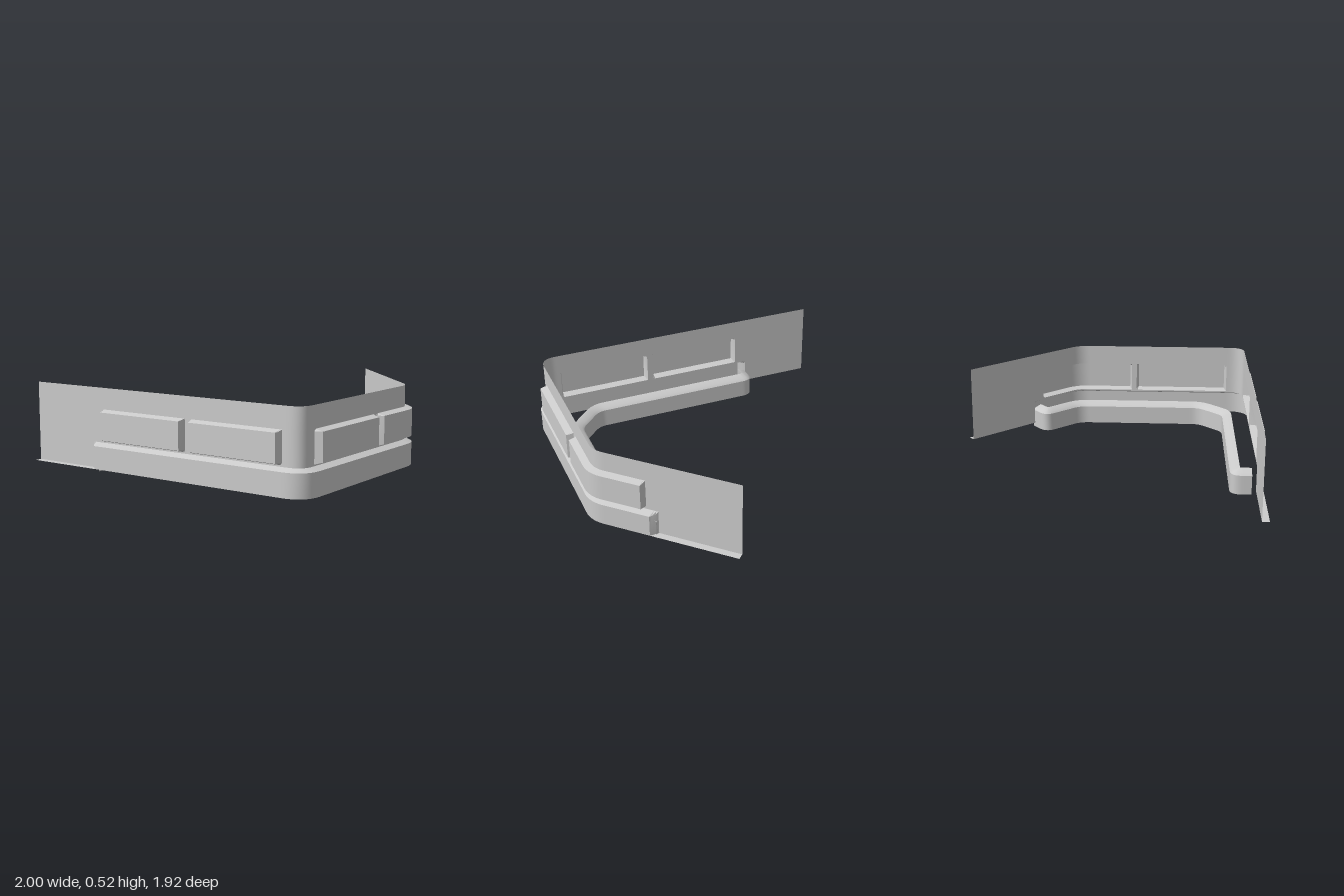
import * as THREE from 'three';
import { toCreasedNormals } from 'three/addons/utils/BufferGeometryUtils.js';

const material = new THREE.MeshStandardMaterial({ color: 0xcccccc, side: THREE.DoubleSide });

// Plan path (x, z) through corner points [x, z, bend], each corner rounded
function planPath(points) {
  const path = new THREE.Path();
  const v = points.map(([x, z]) => new THREE.Vector2(x, z));
  path.moveTo(v[0].x, v[0].y);
  for (let i = 1; i < v.length - 1; i++) {
    const bend = points[i][2];
    const a = v[i - 1].clone().sub(v[i]).setLength(bend).add(v[i]);
    const b = v[i + 1].clone().sub(v[i]).setLength(bend).add(v[i]);
    path.lineTo(a.x, a.y);
    path.quadraticCurveTo(v[i].x, v[i].y, b.x, b.y);
  }
  path.lineTo(v.at(-1).x, v.at(-1).y);
  return path;
}

// Fraction along the path closest to a plan point
function locate(path, x, z) {
  let best = 0, bestD = Infinity;
  for (let i = 0; i <= 2000; i++) {
    const p = path.getPoint(i / 2000);
    const d = Math.hypot(p.x - x, p.y - z);
    if (d < bestD) { bestD = d; best = i / 2000; }
  }
  return best;
}

// Sheet swept along a path; profile(u, row) gives [outward offset, height]
function sheet(name, path, stations, rows, profile) {
  const grid = stations.map((u) => {
    const p = path.getPoint(u), t = path.getTangent(u);
    return Array.from({ length: rows }, (_, j) => {
      const [out, y] = profile(u, j);
      return new THREE.Vector3(p.x - t.y * out, y, p.y + t.x * out);
    });
  });
  const pos = [];
  const tri = (a, b, c) => {
    const area = b.clone().sub(a).cross(c.clone().sub(a)).length();
    if (area > 1e-9) for (const q of [a, b, c]) pos.push(q.x, q.y, q.z);
  };
  for (let i = 0; i < grid.length - 1; i++) {
    for (let j = 0; j < rows - 1; j++) {
      const a = grid[i][j], b = grid[i + 1][j], c = grid[i][j + 1], d = grid[i + 1][j + 1];
      tri(a, c, b);
      tri(b, c, d);
    }
  }
  const geo = new THREE.BufferGeometry();
  geo.setAttribute('position', new THREE.Float32BufferAttribute(pos, 3));
  const mesh = new THREE.Mesh(toCreasedNormals(geo, 0.5), material);
  mesh.name = name;
  return mesh;
}

// Sorted stations: even spacing plus extra break points
function stationsOf(count, extra = []) {
  const all = Array.from({ length: count + 1 }, (_, i) => i / count).concat(extra);
  return all.sort((a, b) => a - b).filter((u, i, l) => i === 0 || u - l[i - 1] > 1e-5);
}

// 0 outside [a, b], rising to 1 over a bevel inside each end
const plateau = (v, a, b, bevel) =>
  THREE.MathUtils.clamp(Math.min(v - a, b - v) / bevel, 0, 1);

export function createModel() {
  const model = new THREE.Group();
  model.name = 'wrapAroundSkirt';

  // Pressed wall: flat sheet with a raised lower band and four raised panels
  const wallPath = planPath([
    [-1, 0.915], [0.955, 0.915, 0.1], [0.955, -0.26, 0.07], [0.285, -0.93],
  ]);
  const length = wallPath.getLength();
  const depth = 0.045, bevel = 0.014;
  const panelEnds = [
    [[-0.46, 0.915], [0.165, 0.915]],
    [[0.205, 0.915], [0.825, 0.915]],
    [[0.955, 0.80], [0.955, 0.155]],
    [[0.955, 0.12], [0.715, -0.5]],
  ].map((ends) => ends.map(([x, z]) => locate(wallPath, x, z)));
  const band = [locate(wallPath, -0.54, 0.915), locate(wallPath, 0.66, -0.555)];
  const bandBevel = 0.04 / length, panelBevel = bevel / length;

  const breaks = [band[0], band[0] + bandBevel, band[1] - bandBevel, band[1]];
  for (const [a, b] of panelEnds) breaks.push(a, a + panelBevel, b - panelBevel, b);

  const heights = [0.52, 0.39, 0.378, 0.21, 0.197, 0.188, 0.17, 0.03, 0.03];
  const wallProfile = (u, j) => {
    const y = heights[j];
    if (j === heights.length - 1) return [depth, y]; // bottom flange
    const rise = THREE.MathUtils.clamp((0.188 - y) / 0.018, 0, 1);
    let raised = rise * plateau(u, band[0], band[1], bandBevel);
    const rowLift = plateau(y, 0.197, 0.39, 0.012);
    for (const [a, b] of panelEnds) {
      raised = Math.max(raised, rowLift * plateau(u, a, b, panelBevel));
    }
    return [depth * raised, y];
  };
  model.add(sheet('panelledWall', wallPath, stationsOf(260, breaks), heights.length, wallProfile));

  // Inner rail: upright strip with an outward lip, hooked at both ends
  const railPath = planPath([
    [-0.53, 0.89], [-0.53, 0.76, 0.07], [0.62, 0.76, 0.05], [0.78, 0.6, 0.05],
    [0.78, -0.24, 0.06], [0.56, -0.465, 0.07], [0.68, -0.565],
  ]);
  const railSection = [[0.06, 0.15], [0.015, 0.135], [0, 0.12], [0, 0]];
  model.add(sheet('innerRail', railPath, stationsOf(200), railSection.length, (u, j) => railSection[j]));

  return model;
}
